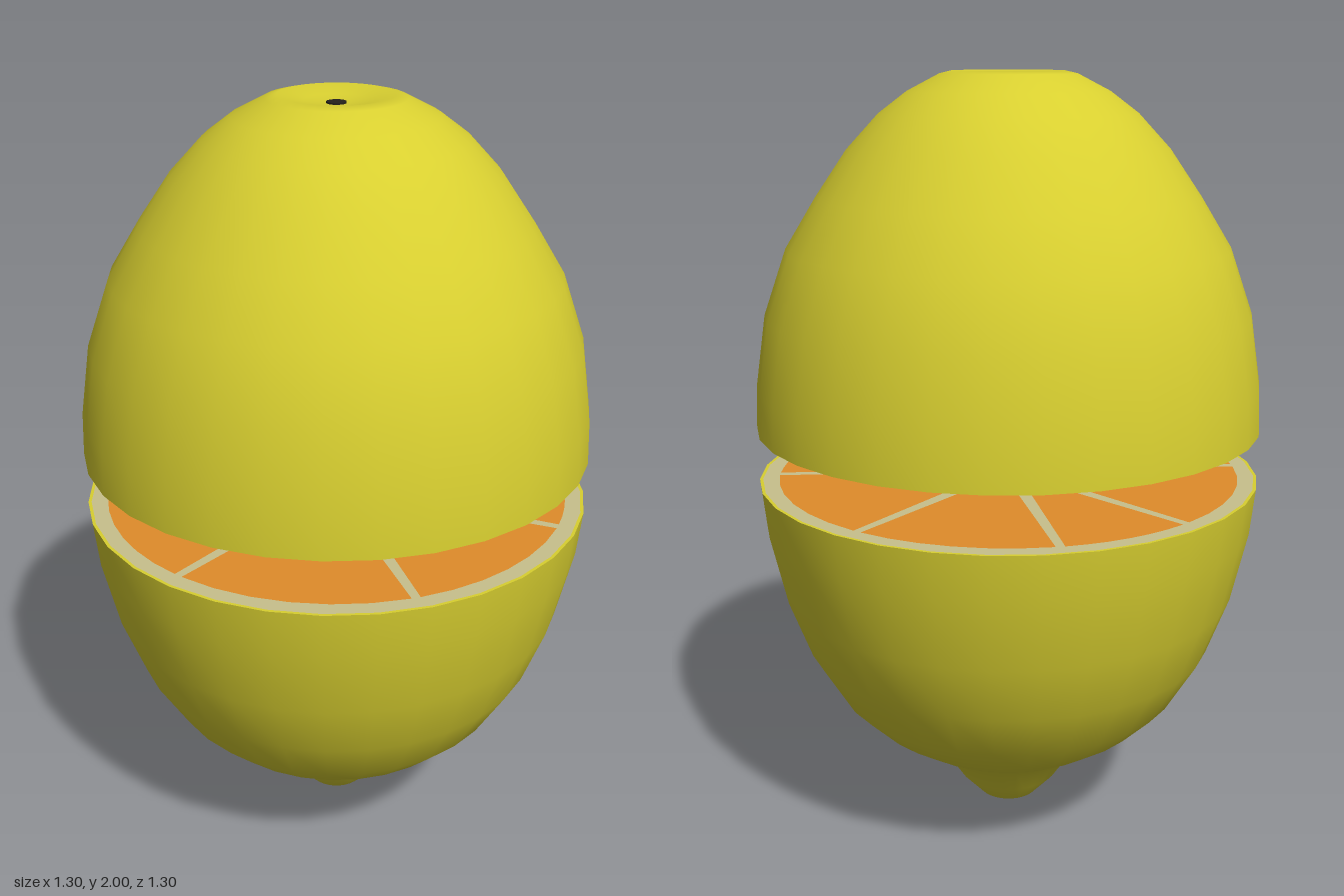
import * as THREE from 'three';

const RIM = 0.65, PULP = 0.6, GAP = 0.011, SIDES = 32;
// Uneven membrane directions, in degrees from the front (+z) towards +x
const MEMBRANES = [-58, -2, 48, 75, 126, 173, 206, 256].map(THREE.MathUtils.degToRad);

const mat = (color, side = THREE.FrontSide) =>
  new THREE.MeshStandardMaterial({ color, side });
const skin = mat(0xd8cf30, THREE.DoubleSide);
const pith = mat(0xc8c08c);
const flesh = mat(0xe08c2a);
const dark = mat(0x25221c);

function addMesh(parent, name, geometry, material) {
  const mesh = new THREE.Mesh(geometry, material);
  mesh.name = name;
  parent.add(mesh);
  return mesh;
}

// Smooth turned peel, profile listed from bottom to top
function peel(profile) {
  return new THREE.LatheGeometry(profile.map(([r, y]) => new THREE.Vector2(r, y)), SIDES);
}

// Flat cut surface: pith ring with membranes, and pulp segments filling its holes
function cutFace(y, up) {
  const group = new THREE.Group();
  group.name = 'cutFace';
  const s = up ? -1 : 1;
  const polar = (r, a) => new THREE.Vector2(r * Math.sin(a), s * r * Math.cos(a));
  const place = (shape) => new THREE.ShapeGeometry(shape).rotateX(s * Math.PI / 2).translate(0, y, 0);

  const outline = [];
  for (let i = 0; i < SIDES; i++) outline.push(polar(RIM - 0.008, (i / SIDES) * Math.PI * 2));
  const disc = new THREE.Shape(outline);

  MEMBRANES.forEach((a0, i) => {
    const a1 = i + 1 < MEMBRANES.length ? MEMBRANES[i + 1] : MEMBRANES[0] + Math.PI * 2;
    const inset = Math.asin(GAP / PULP), start = a0 + inset, end = a1 - inset;
    // Apex moved out so that both sides keep a constant membrane width
    const points = [polar(GAP / Math.sin((a1 - a0) / 2) + 0.02, (a0 + a1) / 2)];
    const steps = 6;
    for (let k = 0; k <= steps; k++) points.push(polar(PULP, start + ((end - start) * k) / steps));
    disc.holes.push(new THREE.Path(points));
    addMesh(group, 'pulpSegment', place(new THREE.Shape(points)), flesh);
  });
  addMesh(group, 'pith', place(disc), pith);

  // Thin edge of the peel around the pith
  const edge = new THREE.RingGeometry(RIM - 0.008, RIM, SIDES);
  edge.rotateX(s * Math.PI / 2).translate(0, y, 0);
  addMesh(group, 'peelEdge', edge, skin);
  return group;
}

export function createModel() {
  const model = new THREE.Group();
  model.name = 'slicedCitrusFruit';

  // Lower half, ending in a pointed tip
  const lower = new THREE.Group();
  lower.name = 'lowerHalf';
  addMesh(lower, 'lowerPeel', peel([
    [0, 0.005], [0.03, 0.018], [0.08, 0.045], [0.135, 0.105], [0.185, 0.18], [0.3, 0.25],
    [0.38, 0.305], [0.46, 0.385], [0.54, 0.52], [0.597, 0.675], [0.638, 0.86], [RIM, 0.98],
  ]), skin);
  lower.add(cutFace(0.98, true));
  model.add(lower);

  // Upper half, with a shallow dimple at the stem end
  const upper = new THREE.Group();
  upper.name = 'upperHalf';
  addMesh(upper, 'upperPeel', peel([
    [RIM, 1.12], [0.645, 1.23], [0.617, 1.41], [0.558, 1.575], [0.48, 1.7], [0.4, 1.815],
    [0.32, 1.9], [0.25, 1.952], [0.17, 1.993], [0.14, 2], [0.08, 1.985], [0.03, 1.979], [0, 1.979],
  ]), skin);
  upper.add(cutFace(1.12, false));
  const stem = addMesh(upper, 'stemScar', new THREE.CylinderGeometry(0.024, 0.024, 0.02, 16), dark);
  stem.position.y = 1.973;
  model.add(upper);

  return model;
}
